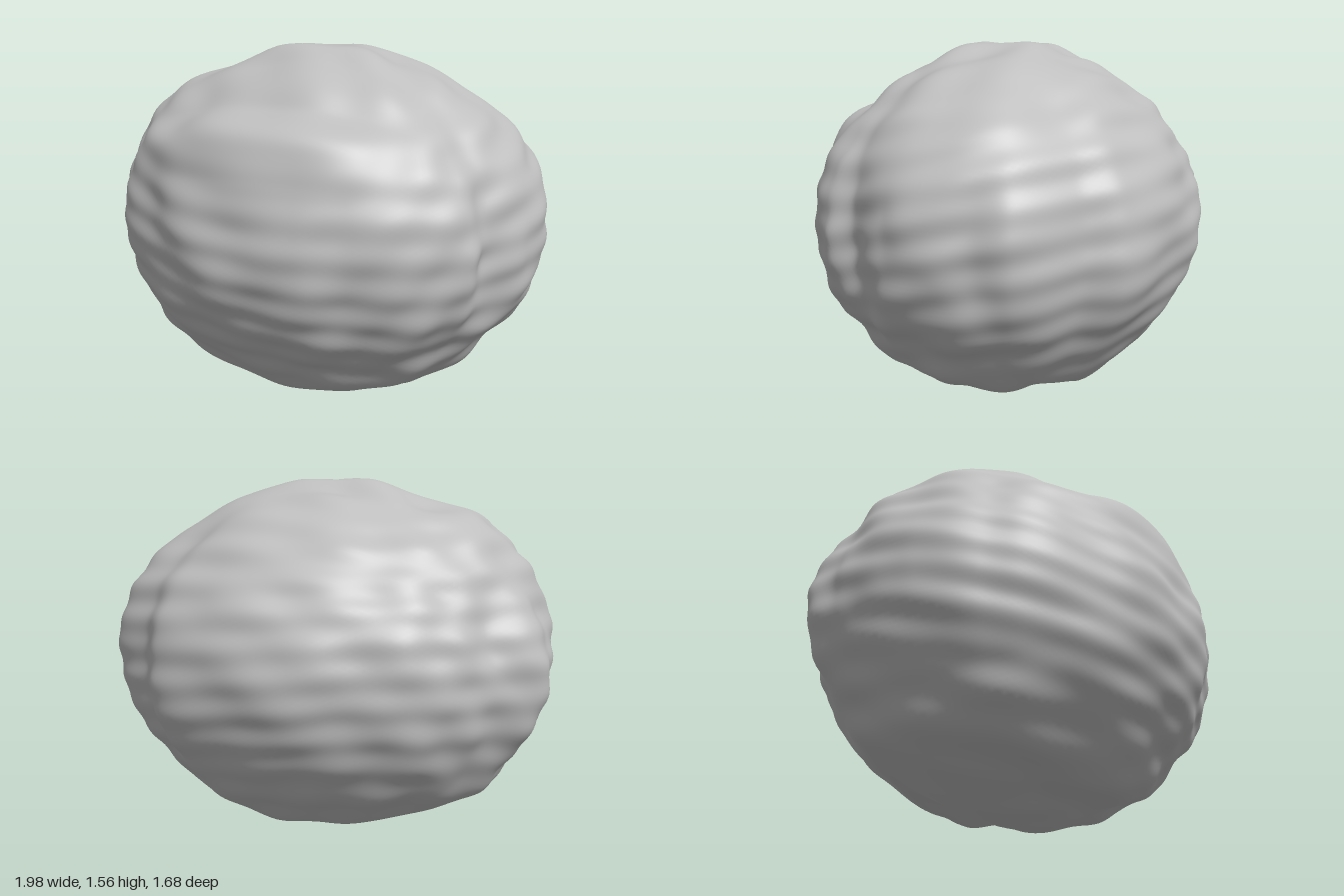
import * as THREE from 'three';
import { mergeVertices } from 'three/addons/utils/BufferGeometryUtils.js';

const HALF = new THREE.Vector3(1, 0.783, 0.84);
const MIDDLE = HALF.y;

// Outlines of the rock across each axis, as pairs of points
const FRONT_XY = [
  0.995, 0.79, 0.955, 0.995, 0.785, 1.245, 0.59, 1.385, 0.36, 1.49, 0.125, 1.56, 0, 1.545, -0.195, 1.565,
  -0.41, 1.48, -0.705, 1.385, -0.86, 1.225, -0.965, 1.02, -1, 0.8, -0.945, 0.515, -0.85, 0.355, -0.76, 0.22,
  -0.405, 0.055, -0.195, 0.005, 0, 0.035, 0.195, 0.02, 0.6, 0.155, 0.77, 0.34, 0.865, 0.435, 0.96, 0.645,
];
const SIDE_ZY = [
  0.84, 0.73, 0.83, 0.87, 0.8, 1.065, 0.75, 1.23, 0.545, 1.345, 0.335, 1.49, 0.185, 1.565, 0.03, 1.55,
  -0.11, 1.565, -0.245, 1.5, -0.48, 1.39, -0.67, 1.21, -0.795, 0.995, -0.84, 0.78, -0.795, 0.58, -0.66, 0.33,
  -0.56, 0.21, -0.39, 0.08, -0.265, 0.105, -0.115, 0.01, 0.08, 0.005, 0.23, 0.075, 0.42, 0.085, 0.61, 0.265,
  0.75, 0.455,
];
const TOP_XZ = [
  0.995, 0, 0.92, -0.185, 0.905, -0.35, 0.685, -0.535, 0.565, -0.695, 0.325, -0.775, 0.04, -0.84, -0.265, -0.79,
  -0.505, -0.73, -0.67, -0.615, -0.775, -0.51, -0.975, -0.36, -1, -0.185, -0.98, 0, -0.99, 0.2, -0.855, 0.43,
  -0.775, 0.545, -0.585, 0.67, -0.345, 0.795, 0.245, 0.83, 0.43, 0.75, 0.685, 0.625, 0.805, 0.48, 0.835, 0.345,
  0.94, 0.16,
];

// Turns an outline into a function giving its radius at any angle
function outline(pairs, a, b, axis) {
  const knots = [];
  for (let i = 0; i < pairs.length; i += 2) {
    const u = pairs[i] / HALF[a];
    const v = (pairs[i + 1] - (b === 'y' ? MIDDLE : 0)) / HALF[b];
    knots.push({ angle: Math.atan2(v, u), r: Math.hypot(u, v) });
  }
  knots.sort((m, n) => m.angle - n.angle);
  const first = knots[0], last = knots[knots.length - 1];
  knots.unshift({ angle: last.angle - 2 * Math.PI, r: last.r });
  knots.push({ angle: first.angle + 2 * Math.PI, r: first.r });
  const radius = (p) => {
    const angle = Math.atan2(p[b], p[a]);
    const i = knots.findIndex((k) => k.angle > angle);
    const lo = knots[i - 1], hi = knots[i];
    const t = THREE.MathUtils.smoothstep(angle, lo.angle, hi.angle);
    return lo.r + (hi.r - lo.r) * t;
  };
  return { radius, axis };
}

const OUTLINES = [
  outline(FRONT_XY, 'x', 'y', 'z'),
  outline(SIDE_ZY, 'z', 'y', 'x'),
  outline(TOP_XZ, 'x', 'z', 'y'),
];

// Small hollows and swells: direction, height, sharpness
const DENTS = [
  [-0.80, 0.35, -0.45, -0.025, 60],
  [0.58, 0.68, -0.48, -0.025, 60],
  [-0.50, -0.10, 0.85, -0.015, 50],
  [0.65, 0.20, 0.72, 0.015, 40],
].map(([x, y, z, height, sharp]) => ({ dir: new THREE.Vector3(x, y, z).normalize(), height, sharp }));

// Layered ripples: direction across the ridges, frequency, height
const RIPPLES = [
  [0.30, 0.20, 0.92, 18, 0.006],
  [0.10, 0.98, 0.15, 38, 0.004],
  [0.85, 0.30, -0.40, 21, 0.005],
  [-0.55, 0.60, 0.60, 27, 0.004],
].map(([x, y, z, freq, height]) => ({ dir: new THREE.Vector3(x, y, z).normalize(), freq, height }));

function surfaceRadius(p) {
  // Blend the outlines, each strongest near its own plane
  let sum = 0, total = 0;
  for (const o of OUTLINES) {
    const weight = 1 / (p[o.axis] ** 2 + 0.03) ** 2;
    sum += weight * o.radius(p);
    total += weight;
  }
  let r = 0.992 * sum / total;
  for (const d of DENTS) r += d.height * Math.exp(d.sharp * (p.dot(d.dir) - 1));
  RIPPLES.forEach((w, i) => {
    const bend = 0.9 * Math.sin(3.1 * p.x + 2.3 * p.y + i) + 0.8 * Math.sin(3.7 * p.z - 2.9 * p.x + 2 * i);
    r += w.height * Math.sin(w.freq * p.dot(w.dir) + bend);
  });
  return r;
}

export function createModel() {
  const group = new THREE.Group();
  group.name = 'rock';
  const stone = new THREE.MeshStandardMaterial({ color: 0xbebebe });
  stone.name = 'grey stone';

  // Evenly divided ball with shared vertices for smooth shading
  let geometry = new THREE.IcosahedronGeometry(1, 44);
  geometry.deleteAttribute('uv');
  geometry.deleteAttribute('normal');
  geometry = mergeVertices(geometry, 1e-5);

  // Weathered surface
  const position = geometry.attributes.position;
  const p = new THREE.Vector3();
  for (let i = 0; i < position.count; i++) {
    p.fromBufferAttribute(position, i).normalize();
    p.multiplyScalar(surfaceRadius(p)).multiply(HALF);
    position.setXYZ(i, p.x, p.y, p.z);
  }

  // Rest the lowest point on the ground
  geometry.computeBoundingBox();
  geometry.translate(0, -geometry.boundingBox.min.y, 0);
  geometry.computeVertexNormals();

  const boulder = new THREE.Mesh(geometry, stone);
  boulder.name = 'boulder';
  group.add(boulder);
  return group;
}
